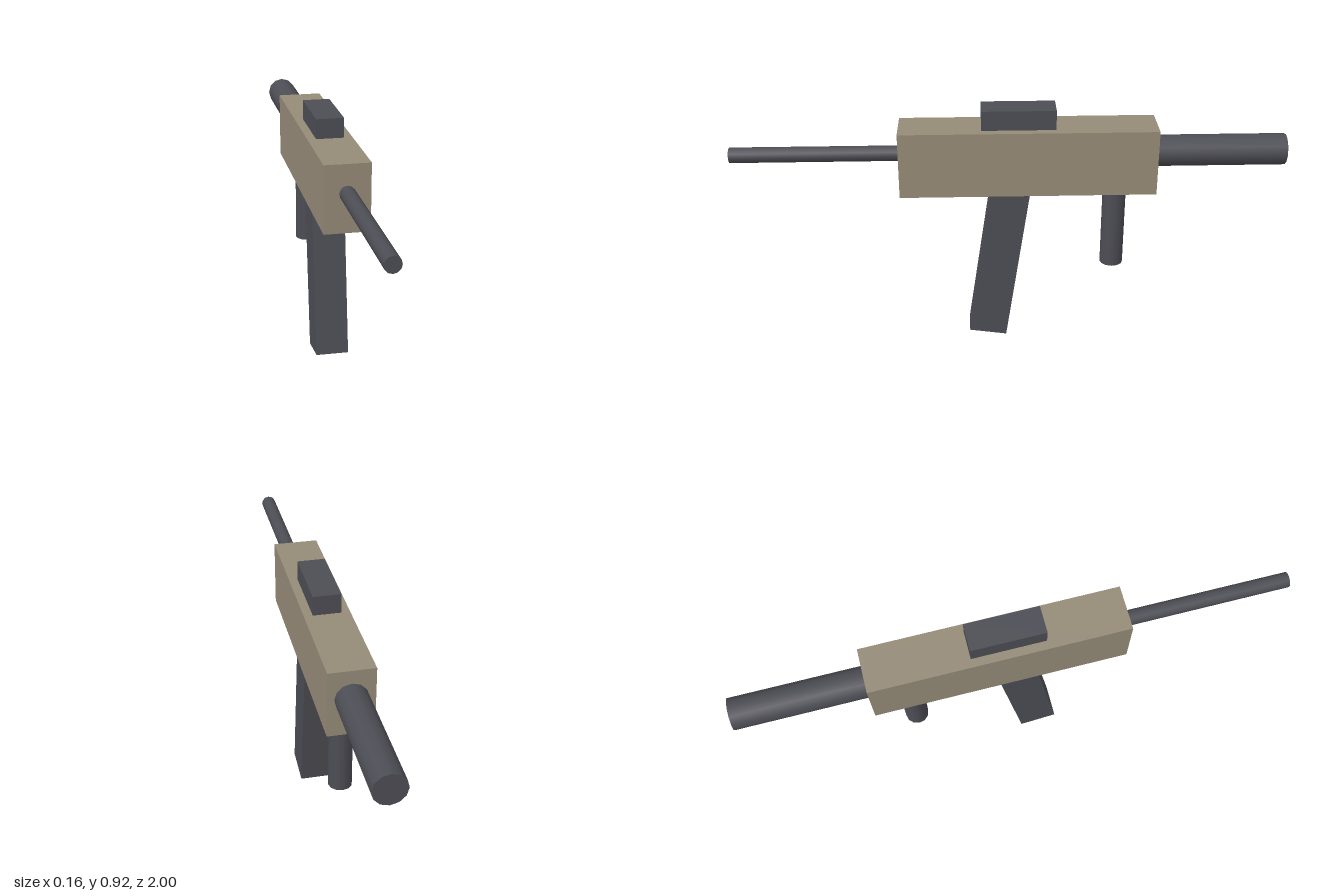
import * as THREE from 'three';

export function createModel() {
  const model = new THREE.Group();
  const tan = new THREE.MeshStandardMaterial({ name: 'tan', color: 0x968b78 });
  const darkGrey = new THREE.MeshStandardMaterial({ name: 'dark grey', color: 0x4d4d55 });

  function add(name, geometry, material, y, z, tilt = 0) {
    const mesh = new THREE.Mesh(geometry, material);
    mesh.name = name;
    mesh.position.set(0, y, z);
    mesh.rotation.x = tilt;
    model.add(mesh);
    return mesh;
  }
  const box = (w, h, d) => new THREE.BoxGeometry(w, h, d);
  const rod = (r, length) => new THREE.CylinderGeometry(r, r, length, 12);

  // Receiver block and the raised sight on top
  add('body', box(0.162, 0.243, 0.925), tan, 0.7225, -0.0685);
  add('sight', box(0.1, 0.09, 0.266), darkGrey, 0.871, -0.034);

  // Thin rod at the front, thick one at the back, ends sunk into the body
  add('barrel', rod(0.028, 0.65), darkGrey, 0.741, 0.675, Math.PI / 2);
  add('stock', rod(0.057, 0.5), darkGrey, 0.739, -0.75, Math.PI / 2);

  // Upright handle
  add('grip', rod(0.043, 0.335), darkGrey, 0.4525, -0.388);

  // Magazine leaning forward at its foot
  const tilt = -0.145;
  const length = 0.64;
  add('magazine', box(0.12, length, 0.14), darkGrey,
    0.011 + Math.cos(tilt) * length / 2, 0.081 + Math.sin(tilt) * length / 2, tilt);

  return model;
}
